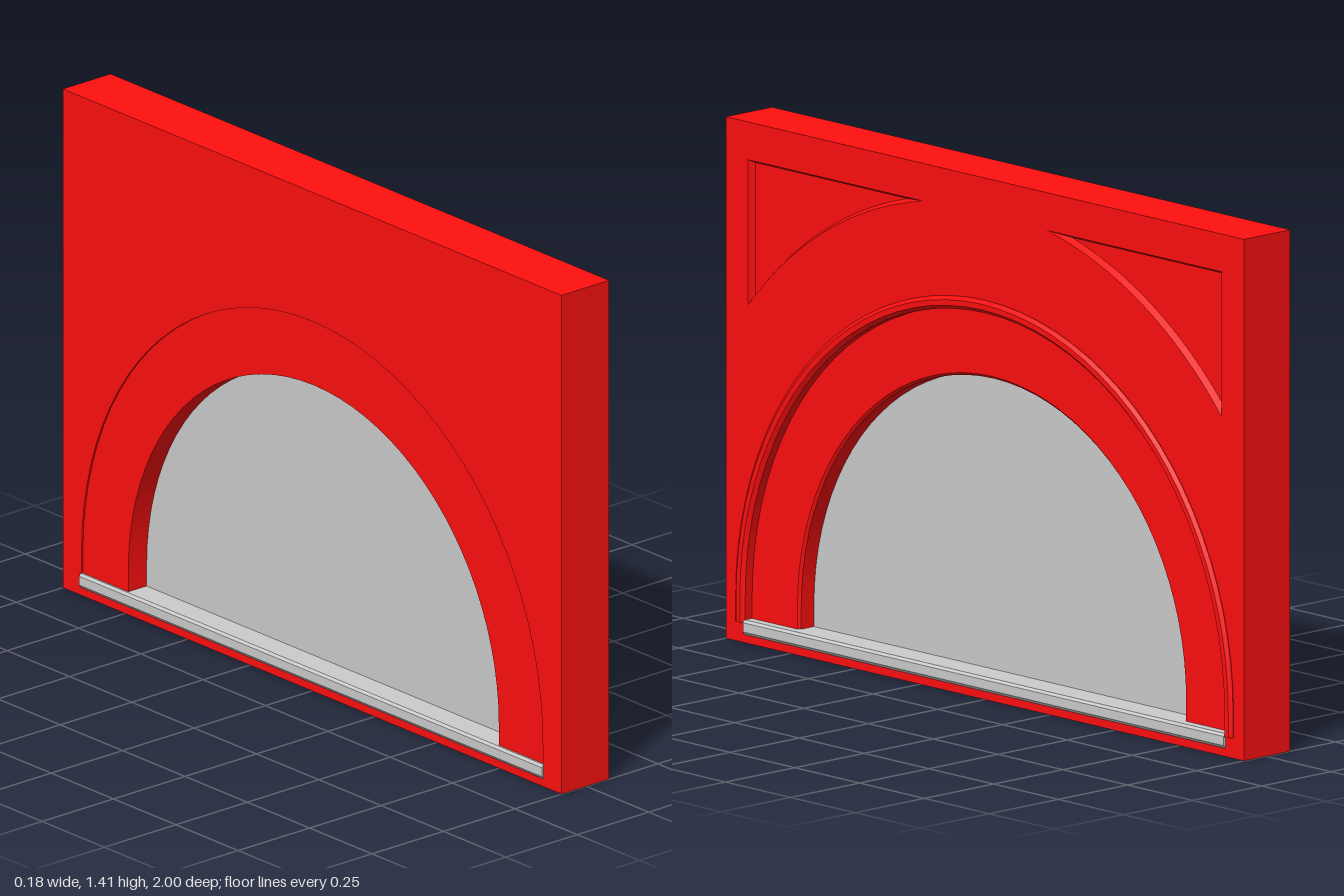
import * as THREE from 'three';
import { toCreasedNormals } from 'three/addons/utils/BufferGeometryUtils.js';

const RED = new THREE.MeshStandardMaterial({ color: 0xff0f0f });
const GREY = new THREE.MeshStandardMaterial({ color: 0xcccccc });

// Wall is drawn in x (width), y (up), z (depth), then turned to face +x.
const W = 1, H = 1.41, FRONT = 0.08, BACK = -0.087;
const SPRING = 0.12, OPENING = 0.925;

// Arch outline of radius r: short straight legs below a half circle.
function archPoints(r, bottom, n = 44) {
  const pts = [new THREE.Vector2(r, bottom)];
  for (let i = 0; i <= n; i++) {
    const a = (Math.PI * i) / n;
    pts.push(new THREE.Vector2(r * Math.cos(a), SPRING + r * Math.sin(a)));
  }
  pts.push(new THREE.Vector2(-r, bottom));
  return pts;
}

// Skin rows of points with quads; optionally fan-cap the first and last row.
function skin(rows, capped = false) {
  const pos = [];
  const tri = (...ps) => ps.forEach((p) => pos.push(p.x, p.y, p.z));
  for (let i = 0; i + 1 < rows.length; i++) {
    for (let j = 0; j + 1 < rows[i].length; j++) {
      const a = rows[i][j], b = rows[i + 1][j], c = rows[i + 1][j + 1], d = rows[i][j + 1];
      tri(a, b, c);
      tri(a, c, d);
    }
  }
  if (capped) {
    const s = rows[0], e = rows[rows.length - 1];
    for (let j = 1; j + 1 < s.length; j++) {
      tri(s[0], s[j], s[j + 1]);
      tri(e[0], e[j + 1], e[j]);
    }
  }
  const g = new THREE.BufferGeometry();
  g.setAttribute('position', new THREE.Float32BufferAttribute(pos, 3));
  return toCreasedNormals(g, 0.4);
}

// Sweep a profile of [radius, depth] pairs around the arch.
function archSweep(profile, bottom, closed) {
  const list = closed ? [...profile, profile[0]] : profile;
  const lines = list.map(([r, z]) =>
    archPoints(r, bottom).map((p) => new THREE.Vector3(p.x, p.y, z)));
  return skin(lines[0].map((_, i) => lines.map((l) => l[i])), closed);
}

// Corner panel outline, counter-clockwise; its curved edge follows the arch.
function panelPoints(side, inset) {
  const r = 1.212 + inset, u = 0.914 - inset, v = 1.308 - inset;
  const a0 = Math.acos(u / r), a1 = Math.asin((v - SPRING) / r);
  const pts = [new THREE.Vector2(side * u, v)];
  for (let i = 0; i <= 16; i++) {
    const a = a0 + ((a1 - a0) * i) / 16;
    pts.push(new THREE.Vector2(side * r * Math.cos(a), SPRING + r * Math.sin(a)));
  }
  return side > 0 ? pts.reverse() : pts;
}

// Closed band between two outlines at different depths.
function band(a, za, b, zb) {
  const rows = a.map((p, i) => [
    new THREE.Vector3(p.x, p.y, za), new THREE.Vector3(b[i].x, b[i].y, zb)]);
  return skin([...rows, rows[0]]);
}

export function createModel() {
  const model = new THREE.Group();
  model.name = 'archedWindowWall';
  const facing = new THREE.Group();
  facing.name = 'wall';
  facing.rotation.y = Math.PI / 2;
  model.add(facing);

  const add = (name, geometry, material = RED, parent = facing) => {
    const mesh = new THREE.Mesh(geometry, material);
    mesh.name = name;
    parent.add(mesh);
    return mesh;
  };

  // Wall slab: front and back faces, outer edges and arch reveal
  const outline = [[-W, 0], [W, 0], [W, H], [-W, H]].map(([x, y]) => new THREE.Vector2(x, y));
  const front = new THREE.Shape(outline);
  const back = new THREE.Shape(outline);
  const hole = archPoints(OPENING, 0.04);
  front.holes.push(new THREE.Path(hole));
  back.holes.push(new THREE.Path(hole));
  for (const side of [-1, 1]) front.holes.push(new THREE.Path(panelPoints(side, 0)));
  add('wallFront', new THREE.ShapeGeometry(front).translate(0, 0, FRONT));
  add('wallBack', new THREE.ShapeGeometry(back).rotateY(Math.PI).translate(0, 0, BACK));
  add('wallEdges', band(outline, BACK, outline, FRONT));
  add('archReveal', archSweep([[OPENING, FRONT], [OPENING, BACK]], 0.04, false));

  // Sunken corner panels with sloping sides
  for (const side of [-1, 1]) {
    const name = side > 0 ? 'rearPanel' : 'frontPanel';
    const inner = panelPoints(side, 0.009), floor = FRONT - 0.018;
    add(name + 'Sides', band(panelPoints(side, 0), FRONT, inner, floor));
    add(name + 'Floor', new THREE.ShapeGeometry(new THREE.Shape(inner)).translate(0, 0, floor));
  }

  // Raised moulding around the arch
  add('archMoulding', archSweep(
    [[0.96, 0.075], [0.96, 0.082], [0.95, 0.09], [0.935, 0.09], [0.925, 0.08], [0.925, 0.075]],
    0.055, true));

  // Window surround set into the arch
  add('windowSurround', archSweep(
    [[0.927, 0.055], [0.75, 0.055], [0.743, 0.048], [0.743, -0.082], [0.927, -0.082]],
    0.045, true));

  // Glass pane
  const pane = new THREE.Shape(archPoints(0.755, 0.045));
  add('glass', new THREE.ExtrudeGeometry(pane, { depth: 0.02, bevelEnabled: false })
    .translate(0, 0, -0.018), GREY);

  // Sill with chamfered edges
  const sill = new THREE.Shape([
    [-0.087, 0.022], [0.08, 0.022], [0.086, 0.03], [0.086, 0.055],
    [0.08, 0.062], [-0.087, 0.062], [-0.093, 0.055], [-0.093, 0.03],
  ].map(([x, y]) => new THREE.Vector2(x, y)));
  add('sill', new THREE.ExtrudeGeometry(sill, { depth: 1.856, bevelEnabled: false })
    .translate(0, 0, -0.928), GREY, model);

  return model;
}
